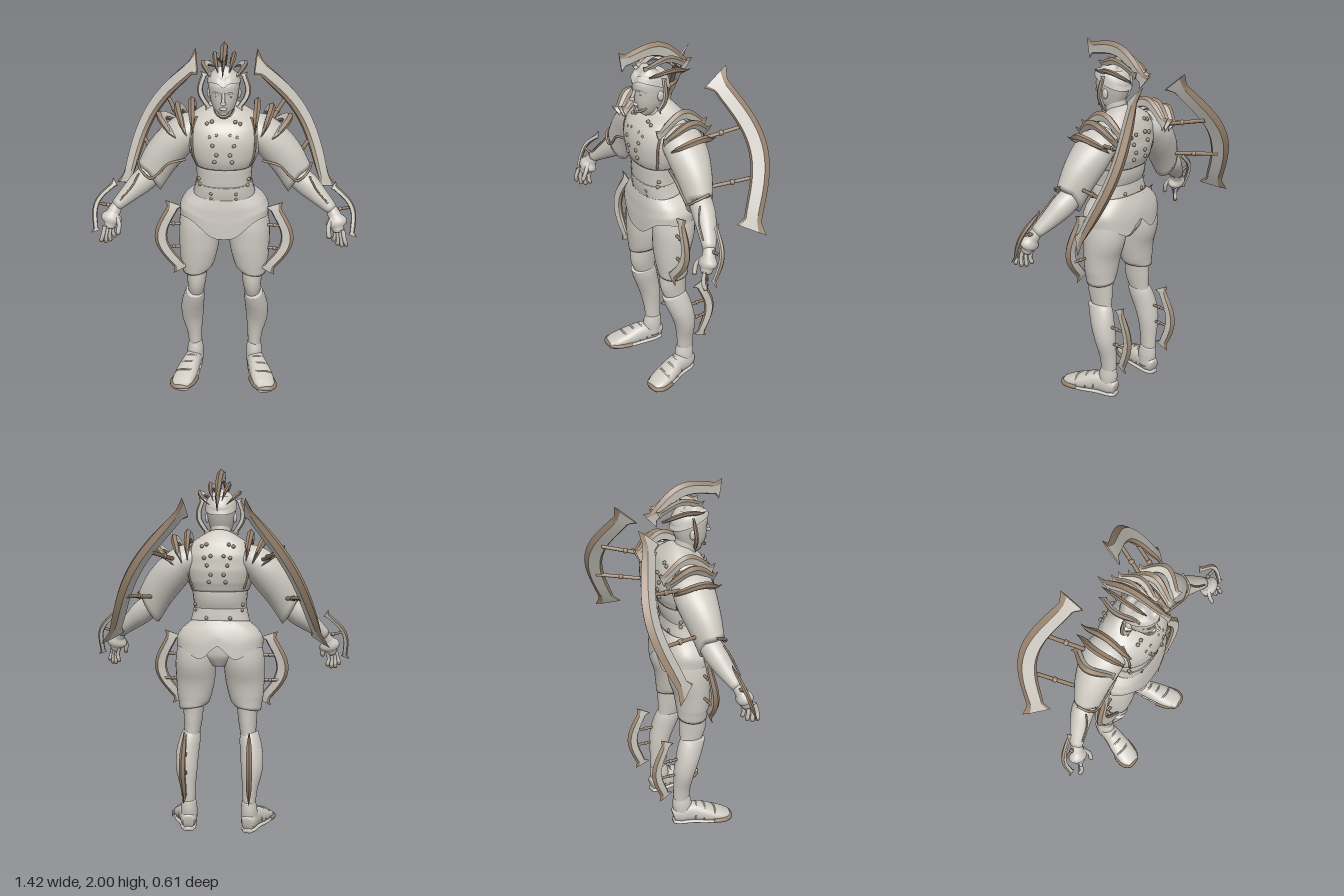
import * as THREE from 'three';

const V = (a) => new THREE.Vector3(...a);
const plate = new THREE.MeshStandardMaterial({ name: 'pale plate', color: 0xcdc9c1, side: THREE.DoubleSide });
const trim = new THREE.MeshStandardMaterial({ name: 'bronze trim', color: 0x9a8570 });

// Torso sections: height, half width, front z, back z
const BELLY = [[1.06, .18, .17, -.05], [1.16, .16, .19, -.03], [1.24, .145, .205, -.02], [1.32, .15, .21, -.04], [1.4, .16, .2, -.04]];
const CHEST = [[1.345, .157, .217, -.048], [1.4, .18, .235, -.065], [1.48, .197, .236, -.075], [1.55, .192, .208, -.07], [1.6, .16, .178, -.045], [1.63, .11, .15, -.01], [1.66, .05, .13, .03]];
const HEAD = [[1.62, .02, .195, .15], [1.645, .044, .212, .1], [1.69, .064, .218, .06], [1.74, .075, .22, .035], [1.79, .081, .22, .02], [1.83, .073, .2, .035], [1.86, .045, .165, .07], [1.872, .008, .12, .1]];
const toRows = (s, grow = 0) => s.map(([y, r, f, b]) => [0, y, (f + b) / 2, r + grow, (f - b) / 2 + grow]);

// z of the torso skin at x, y on the front (1) or back (-1)
function skinZ(x, y, side) {
  const all = [...BELLY.slice(0, 4), ...CHEST];
  let i = 0;
  while (i < all.length - 2 && all[i + 1][0] < y) i++;
  const k = (y - all[i][0]) / (all[i + 1][0] - all[i][0]);
  const [, r, f, b] = all[i].map((v, j) => v + (all[i + 1][j] - v) * k);
  const q = Math.pow(Math.max(0, 1 - Math.pow(Math.min(1, Math.abs(x) / r), 2.4)), 1 / 2.4);
  return (f + b) / 2 + side * (f - b) / 2 * q;
}

// Smooth skin through elliptical sections [x, y, z, radiusA, radiusB]
function loftGeometry(rows, { power = 2, caps = true, bend = null, n = 32, steps = 5 } = {}) {
  const path = new THREE.CatmullRomCurve3(rows.map((r) => V(r.slice(0, 3))));
  const size = new THREE.CatmullRomCurve3(rows.map((r) => V([r[3], r[4], 0])));
  const m = (rows.length - 1) * steps, pos = [], idx = [];
  const ref = Math.abs(path.getTangent(.5).z) > .8 ? V([0, 1, 0]) : V([0, 0, 1]);
  for (let i = 0; i <= m; i++) {
    const f = i / m, c = path.getPoint(f), s = size.getPoint(f), T = path.getTangent(f);
    const S = T.clone().cross(ref).normalize(), B = T.clone().cross(S).normalize();
    for (let j = 0; j < n; j++) {
      const a = j / n * Math.PI * 2;
      const e = (v) => Math.sign(v) * Math.pow(Math.abs(v), 2 / power);
      const p = c.clone().addScaledVector(S, e(Math.cos(a)) * s.x).addScaledVector(B, e(Math.sin(a)) * s.y);
      if (bend) bend(p, f, c);
      pos.push(p.x, p.y, p.z);
      if (i < m) {
        const k = i * n + j, l = i * n + (j + 1) % n;
        idx.push(k, l, k + n, l, l + n, k + n);
      }
    }
  }
  if (caps) {
    const a = pos.length / 3;
    pos.push(...rows[0].slice(0, 3), ...rows[rows.length - 1].slice(0, 3));
    for (let j = 0; j < n; j++) idx.push(a, (j + 1) % n, j, a + 1, m * n + j, m * n + (j + 1) % n);
  }
  const g = new THREE.BufferGeometry();
  g.setAttribute('position', new THREE.Float32BufferAttribute(pos, 3));
  g.setIndex(idx);
  g.computeVertexNormals();
  return g;
}

// Recurved blade from tip a to tip b: six-sided section, barbed ends, bronze on both edges
function bladeGeometry(a, b, out, bulge, w, t) {
  const A = V(a), B = V(b), L = A.distanceTo(B), mid = A.clone().lerp(B, .5), U = B.clone().sub(A).normalize();
  const O = V(out).addScaledVector(U, -V(out).dot(U)).normalize(), W = U.clone().cross(O);
  const end = (s) => [[s * .5 * L, 0], [s * .4 * L, -1.35 * w], t * .1];
  const sections = [end(-1)];
  for (let i = 0; i <= 24; i++) {
    const k = i / 12 - 1, v = bulge * Math.pow(.5 + .5 * Math.cos(Math.PI * k), .55) - .1 * w * k * k;
    sections.push([[k * .42 * L, v], [k * .37 * L, v - w * (1 - .2 * k * k)], t / 2 * (1 - .5 * k ** 4)]);
  }
  sections.push(end(1));
  const rings = sections.map(([o, i, h]) =>
    [[0, 0], [.27, 1], [.9, .7], [1, 0], [.9, -.7], [.27, -1]].map(([q, z]) => mid.clone()
      .addScaledVector(U, o[0] + (i[0] - o[0]) * q).addScaledVector(O, o[1] + (i[1] - o[1]) * q).addScaledVector(W, z * h)));
  const g = new THREE.BufferGeometry(), pos = [], idx = [];
  for (const j of [0, 2, 3, 5, 1, 4]) {
    const base = pos.length / 3;
    rings.forEach((r, i) => {
      pos.push(...r[j].toArray(), ...r[(j + 1) % 6].toArray());
      const k = base + i * 2;
      if (i < rings.length - 1) idx.push(k, k + 1, k + 2, k + 1, k + 3, k + 2);
    });
  }
  // Close both barbed ends
  for (const r of [rings[0].slice().reverse(), rings[rings.length - 1]]) {
    const base = pos.length / 3;
    r.forEach((p) => pos.push(...p.toArray()));
    for (let j = 1; j < 5; j++) idx.push(base, base + j, base + j + 1);
  }
  const strip = (rings.length - 1) * 6;
  g.setAttribute('position', new THREE.Float32BufferAttribute(pos, 3));
  g.setIndex(idx);
  g.addGroup(0, strip * 4, 0);
  g.addGroup(strip * 4, strip * 2, 1);
  g.addGroup(strip * 6, 24, 0);
  g.computeVertexNormals();
  return g;
}

export function createModel() {
  const model = new THREE.Group();
  const add = (name, geo, mat = plate) => {
    const mesh = new THREE.Mesh(geo, mat);
    mesh.name = name;
    model.add(mesh);
    return mesh;
  };
  const loft = (name, rows, opt) => add(name, loftGeometry(rows, opt));
  const blade = (name, ...args) => add(name, bladeGeometry(...args), [trim, plate]);
  const tube = (name, pts, r, mat = trim) =>
    add(name, new THREE.TubeGeometry(new THREE.CatmullRomCurve3(pts.map(V)), 24, r, 6), mat);
  const ball = (name, p, r, mat = trim, scale = [1, 1, 1]) => {
    const b = add(name, new THREE.SphereGeometry(r, 14, 10), mat);
    b.position.set(...p);
    b.scale.set(...scale);
  };
  const strut = (name, a, b, r) => {
    tube(name, [a, b], r);
    ball(name + 'Knob', V(a).lerp(V(b), .45).toArray(), r * 1.4);
  };

  // Torso, neck, hip skirt
  loft('abdomen', toRows(BELLY), { power: 2.4 });
  loft('breastplate', toRows(CHEST), { power: 2.4 });
  loft('belt', [[0, 1.17, .085, .164, .114], [0, 1.21, .09, .154, .116], [0, 1.245, .092, .148, .115]], { power: 2.4 });
  loft('neck', [[0, 1.58, .08, .07, .07], [0, 1.65, .1, .054, .058], [0, 1.73, .115, .055, .06]]);
  loft('hipSkirt', [[0, 1.175, .083, .16, .116], [0, 1.13, .078, .213, .132], [0, 1.085, .073, .238, .143], [0, 1.045, .072, .237, .146]], {
    caps: false, n: 64, power: 2.5, bend: (p, f, c) => {
      const a = Math.abs(Math.atan2(p.x, p.z - c.z));
      const lobe = (at, width) => Math.exp(-(((a - at) / width) ** 2));
      p.y -= f * f * (.115 * lobe(0, .72) + .06 * lobe(2.45, .45) - .012 * Math.cos(a * 6));
    },
  });
  loft('pelvis', [[0, 1.12, .07, .16, .105], [0, 1.0, .07, .14, .105], [0, .93, .07, .05, .07]]);

  // Head with cap and face
  loft('head', toRows(HEAD), { power: 2.1 });
  loft('skullCap', toRows(HEAD.slice(4), .006), { power: 2.1, caps: false, n: 48, bend: (p, f, c) => {
    const a = Math.abs(Math.atan2(p.x, p.z - c.z));
    p.y += (1 - f) * (.03 * Math.cos(a) - .025 * Math.exp(-((a / .2) ** 2)));
  } });
  tube('noseBridge', [[0, 1.772, .212], [0, 1.745, .224], [0, 1.722, .234]], .009, plate);
  ball('noseTip', [0, 1.72, .232], .013, plate, [1.1, .8, 1]);
  ball('lips', [0, 1.684, .212], .02, plate, [1, .4, .5]);
  tube('chinBeard', [[-.044, 1.672, .17], [-.026, 1.65, .2], [0, 1.642, .211], [.026, 1.65, .2], [.044, 1.672, .17]], .007);

  // Central crest
  blade('centreCrest', [0, 1.99, .305], [0, 1.86, -.135], [0, 1, .3], .07, .075, .034);

  for (const s of [1, -1]) {
    const X = (p) => [s * p[0], ...p.slice(1)];
    const R = (rows) => rows.map(X);
    const mBlade = (name, a, b, out, ...rest) => blade(name, X(a), X(b), X(out), ...rest);

    // Face sides
    tube('brow', R([[.012, 1.765, .217], [.035, 1.77, .209], [.06, 1.762, .18]]), .005, plate);
    ball('eye', X([.032, 1.748, .202]), .01, plate, [1.2, .6, .8]);
    ball('ear', X([.077, 1.735, .11]), .028, plate, [.4, 1, .65]);

    // Head blades
    mBlade('innerCrest', [.04, 1.9, .19], [.04, 1.88, -.08], [.35, 1, 0], .045, .042, .022);
    mBlade('outerCrest', [.085, 1.86, .18], [.085, 1.845, -.07], [.9, .8, 0], .045, .042, .022);
    mBlade('earBlade', [.12, 1.845, .1], [.095, 1.64, .12], [1, 0, -.1], .03, .03, .02);

    // Shoulder blades
    mBlade('innerShoulderBlade', [.165, 1.6, .2], [.165, 1.59, -.12], [.1, 1, 0], .085, .06, .034);
    mBlade('middleShoulderBlade', [.22, 1.575, .19], [.22, 1.57, -.11], [.45, 1, 0], .085, .06, .034);
    mBlade('outerShoulderBlade', [.295, 1.54, .18], [.295, 1.54, -.09], [.8, .7, 0], .08, .06, .034);

    // Great back blade on two struts
    mBlade('backBlade', [.165, 1.855, -.23], [.61, 1.075, -.19], [.42, .24, -.86], .11, .1, .05);
    strut('upperStrut', X([.24, 1.52, -.03]), X([.32, 1.57, -.25]), .011);
    strut('lowerStrut', X([.37, 1.31, 0]), X([.46, 1.34, -.24]), .011);

    // Arm: wide sleeve with a long lower point, forearm, hand
    loft('sleeve', R([[.13, 1.53, .055, .07, .09], [.19, 1.505, .055, .088, .112], [.25, 1.45, .056, .098, .11], [.325, 1.365, .066, .097, .092], [.39, 1.255, .08, .09, .07]]), {
      bend: (p, f, c) => {
        const k = Math.max(0, f - .5) * 2 * Math.max(-.02, c.y - p.y);
        p.x += s * k * .6;
        p.y -= k * .95;
      },
    });
    tube('sleeveCuff', R([[.46, 1.33, .07], [.435, 1.3, .138], [.385, 1.262, .152], [.345, 1.29, .153], [.29, 1.35, .158], [.2, 1.37, .14]]), .007);
    loft('forearm', R([[.35, 1.28, .065, .06, .06], [.43, 1.22, .083, .064, .06], [.5, 1.16, .11, .05, .05], [.575, 1.095, .145, .031, .034]]));
    tube('vambraceTrim', R([[.45, 1.275, .12], [.485, 1.215, .15], [.55, 1.14, .168]]), .005);
    loft('palm', R([[.565, 1.105, .14, .028, .03], [.59, 1.06, .16, .036, .034], [.605, 1.01, .18, .036, .034], [.61, .985, .187, .025, .028]]));
    for (let i = 0; i < 4; i++) {
      const x = .583 + i * .016, z = .16 + i * .018, tipY = .905 + Math.abs(i - 1.5) * .014;
      tube('finger', R([[x, 1.01, z], [x + .012, .955, z + .012], [x + .006 + i * .005, tipY, z + .008]]), .011, plate);
      ball('fingertip', X([x + .006 + i * .005, tipY, z + .008]), .012);
    }
    tube('thumb', R([[.575, 1.06, .18], [.555, 1.02, .21], [.56, .975, .225]]), .012, plate);
    ball('thumbTip', X([.56, .972, .225]), .0125);
    mBlade('handBlade', [.59, 1.24, .1], [.71, .955, .195], [1, .35, -.2], .045, .028, .022);
    strut('handStrut', X([.58, 1.09, .14]), X([.665, 1.11, .15]), .008);

    // Leg: thigh guard, knee, greave, shoe
    loft('thighGuard', R([[.12, 1.09, .06, .1, .1], [.133, .96, .068, .113, .117], [.138, .85, .083, .108, .102], [.147, .75, .085, .094, .09], [.153, .69, .083, .075, .083]]), {
      bend: (p, f) => { p.y += Math.max(0, f - .85) * .12 * (.15 - Math.abs(p.x)) / .07; },
    });
    loft('knee', R([[.15, .74, .08, .06, .078], [.153, .62, .085, .052, .078], [.16, .5, .06, .038, .05]]));
    loft('greave', R([[.162, .555, .085, .05, .073], [.168, .51, .07, .058, .073], [.18, .43, .045, .063, .067], [.182, .35, .025, .06, .06], [.173, .24, .015, .042, .05], [.168, .13, .012, .034, .045]]), {
      bend: (p, f, c) => { if (f < .3) p.y += (.3 - f) * .72 * (p.z - c.z - .03); },
    });
    loft('ankleCollar', R([[.167, .175, .012, .037, .047], [.169, .12, .018, .046, .056], [.17, .05, .02, .046, .05]]));
    const foot = [[.165, .05, -.035, .03, .036], [.17, .06, 0, .044, .052], [.185, .066, .08, .05, .056], [.212, .05, .17, .061, .042], [.232, .036, .24, .058, .029], [.238, .029, .28, .04, .018]];
    loft('shoe', R(foot), { power: 2.3 });
    loft('sole', R(foot.map(([x, , z, r]) => [x, .012, z, r - .002, .012])), { power: 2.6 });
    tube('toeRim', R([[.152, .022, .17], [.174, .024, .24], [.203, .026, .276], [.238, .028, .282], [.271, .026, .276], [.289, .024, .24], [.273, .022, .17]]), .014);
    for (const [x, h, z, w] of [[.187, .122, .085, .05], [.2, .108, .13, .056], [.217, .089, .185, .061]])
      tube('shoeStrap', R([[x - w, h * .35, z - .01], [x - w * .75, h * .82, z], [x, h, z + .01], [x + w * .75, h * .82, z], [x + w, h * .35, z - .01]]), .005, plate);

    // Leg blades
    mBlade('thighBlade', [.315, 1.115, .11], [.275, .69, .15], [1, .1, 0], .08, .068, .034);
    mBlade('calfBlade', [.18, .59, -.115], [.18, .18, -.125], [.1, 0, -1], .052, .06, .032);
    for (const y of [.98, .84]) strut('thighStrut', X([.235, y, .115]), X([.32, y, .125]), .008);
    for (const y of [.44, .34]) strut('calfStrut', X([.18, y, -.01]), X([.18, y, -.12]), .008);

    // Armhole piping and studs, front and back
    for (const side of [1, -1]) {
      const on = (x, y, lift = 0) => X([x, y, skinZ(x, y, side) + side * lift]);
      tube('armholePiping', [[.14, 1.605], [.158, 1.55], [.163, 1.48], [.157, 1.42], [.138, 1.36]].map(([x, y]) => on(x, y, .002)), .0065);
      for (const [x, y] of [[.06, 1.6], [.035, 1.54], [.07, 1.53], [.055, 1.49], [.035, 1.44], [.045, 1.4], [.085, 1.59], [.13, 1.27], [.125, 1.24], [.065, 1.2], [.065, 1.17]])
        ball('stud', on(x, y, .002), .0105);
    }
  }

  return model;
}
